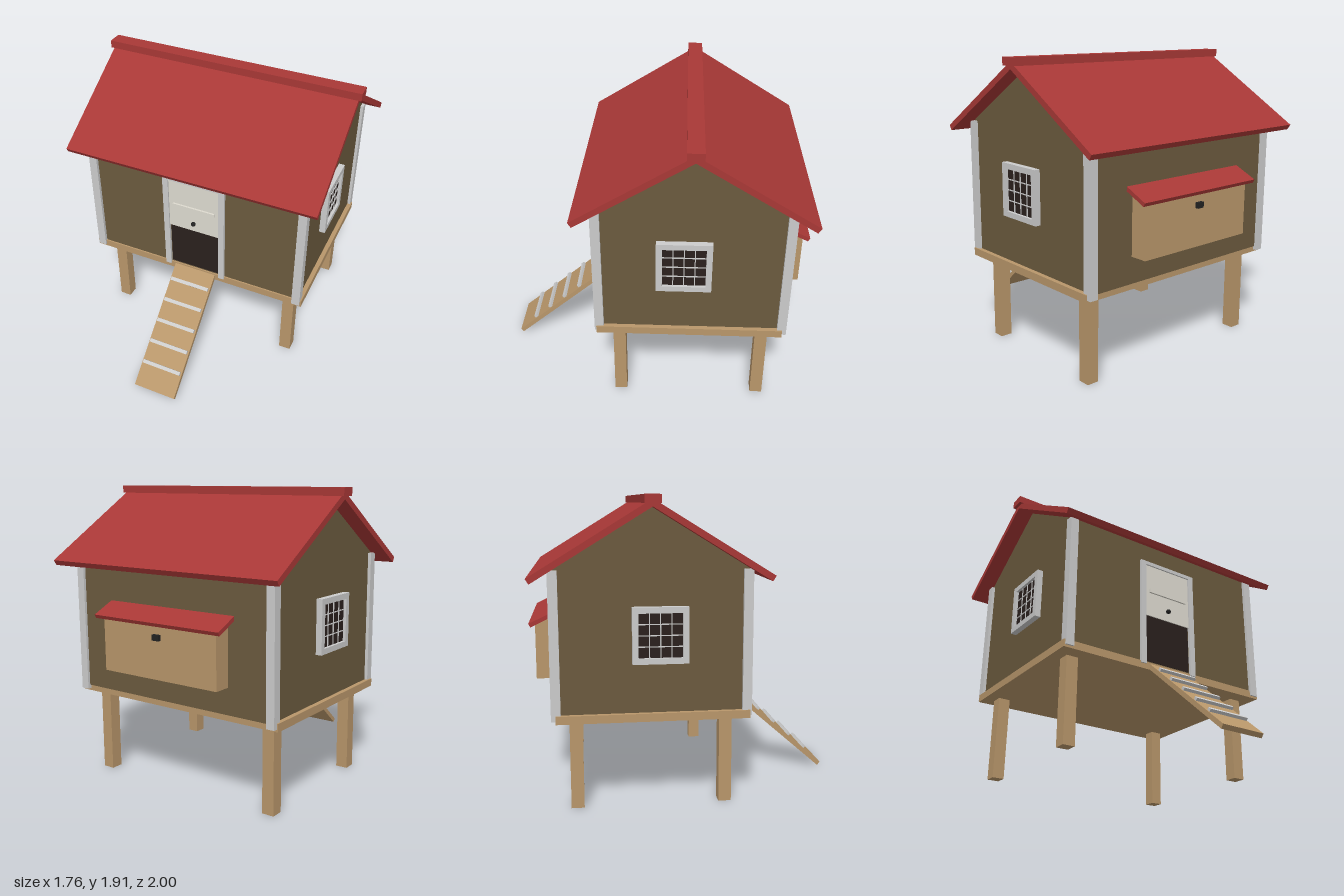
import * as THREE from 'three';

const paint = (color) => new THREE.MeshStandardMaterial({ color });

export function createModel() {
  const model = new THREE.Group();
  const wall = paint(0x6b5a3e), wood = paint(0xb8966a), red = paint(0xa83836);
  const trim = paint(0xcccccc), cream = paint(0xdedbd0), dark = paint(0x2a201d), black = paint(0x222222);

  function add(name, geometry, material, parent = model) {
    const mesh = new THREE.Mesh(geometry, material);
    mesh.name = name;
    parent.add(mesh);
    return mesh;
  }

  // Box given by its lower and upper limits on each axis
  function box(name, material, [x0, x1], [y0, y1], [z0, z1], parent) {
    const g = new THREE.BoxGeometry(x1 - x0, y1 - y0, z1 - z0);
    g.translate((x0 + x1) / 2, (y0 + y1) / 2, (z0 + z1) / 2);
    return add(name, g, material, parent);
  }

  // Side profile of [z, y] points, extruded along x with optional holes
  function profile(name, material, points, width, parent, holes = []) {
    const toVec = (list) => list.map(([z, y]) => new THREE.Vector2(z, y));
    const shape = new THREE.Shape(toVec(points));
    holes.forEach((h) => shape.holes.push(new THREE.Path(toVec(h))));
    const g = new THREE.ExtrudeGeometry(shape, { depth: width, bevelEnabled: false });
    g.translate(0, 0, -width / 2);
    g.rotateY(-Math.PI / 2);
    return add(name, g, material, parent);
  }

  const rect = (z0, z1, y0, y1) => [[z0, y0], [z1, y0], [z1, y1], [z0, y1]];
  const ridgeZ = -0.26;

  // House body with gables, on a wooden floor
  profile('houseBody', wall,
    [[0.33, 0.6], [0.33, 1.485], [ridgeZ, 1.845], [-0.85, 1.485], [-0.85, 0.6]], 1.5);
  box('floor', wood, [-0.78, 0.78], [0.56, 0.61], [-0.84, 0.34]);

  // Legs and corner trims
  for (const s of [-1, 1]) {
    for (const z of [0.2, -0.72]) {
      box('leg', wood, [s * 0.66 - 0.04, s * 0.66 + 0.04], [0, 0.57], [z - 0.04, z + 0.04]);
    }
    for (const z of [0.322, -0.838]) {
      box('cornerTrim', trim, [s * 0.743 - 0.028, s * 0.743 + 0.028], [0.575, 1.475], [z - 0.029, z + 0.029]);
    }
  }

  // Roof and ridge cap
  profile('roof', red, [
    [0.464, 1.44], [ridgeZ, 1.885], [-0.984, 1.44],
    [-0.964, 1.408], [ridgeZ, 1.84], [0.444, 1.408],
  ], 1.72);
  box('ridgeCap', red, [-0.88, 0.88], [1.86, 1.91], [ridgeZ - 0.05, ridgeZ + 0.05]);

  // Side windows
  for (const s of [-1, 1]) {
    const win = new THREE.Group();
    win.name = 'window';
    profile('windowFrame', trim, rect(-0.38, -0.04, 0.914, 1.257), 0.05, win, [rect(-0.343, -0.077, 0.95, 1.22)]);
    profile('windowPane', dark, rect(-0.35, -0.07, 0.94, 1.23), 0.012, win);
    for (let i = 1; i < 4; i++) {
      const z = -0.343 + i * 0.0665, y = 0.95 + i * 0.0675;
      box('windowBar', trim, [-0.011, 0.011], [0.95, 1.22], [z - 0.003, z + 0.003], win);
      box('windowBar', trim, [-0.011, 0.011], [y - 0.003, y + 0.003], [-0.343, -0.077], win);
    }
    win.position.x = s * 0.765;
    model.add(win);
  }

  // Sliding door, its frame and the opening below
  const door = new THREE.Group();
  door.name = 'door';
  model.add(door);
  for (const s of [-1, 1]) {
    box('doorFrameSide', trim, [s * 0.2 - 0.02, s * 0.2 + 0.02], [0.595, 1.345], [0.3, 0.35], door);
  }
  box('doorFrameTop', trim, [-0.18, 0.18], [1.32, 1.345], [0.3, 0.35], door);
  box('doorPanel', cream, [-0.18, 0.18], [0.945, 1.32], [0.3, 0.34], door);
  box('doorOpening', dark, [-0.175, 0.175], [0.62, 0.945], [0.3, 0.333], door);
  box('doorRail', cream, [-0.15, 0.15], [1.115, 1.14], [0.33, 0.352], door);
  add('doorKnob', new THREE.SphereGeometry(0.016, 20, 14), black, door).position.set(0, 1.012, 0.352);

  // Ramp with cleats
  profile('ramp', wood, [[0.335, 0.605], [1.0, 0.024], [0.982, 0], [0.315, 0.583]], 0.3);
  const slope = Math.atan2(0.581, 0.665);
  for (let i = 0; i < 5; i++) {
    const cleat = add('rampCleat', new THREE.BoxGeometry(0.28, 0.02, 0.024), trim);
    cleat.position.set(0, 0.534 - i * 0.098, 0.43 + i * 0.112);
    cleat.rotation.x = slope;
  }

  // Nest box on the back with a sloping lid and latch
  const nest = new THREE.Group();
  nest.name = 'nestBox';
  model.add(nest);
  profile('nestBoxBody', wood, [[-0.83, 0.768], [-0.83, 1.18], [-0.962, 1.12], [-0.962, 0.768]], 0.88, nest);
  profile('nestBoxLid', red, [[-0.83, 1.205], [-1.0, 1.125], [-0.988, 1.102], [-0.83, 1.177]], 0.97, nest);
  box('nestBoxLatch', black, [-0.025, 0.025], [1.014, 1.05], [-0.984, -0.955], nest);

  return model;
}
